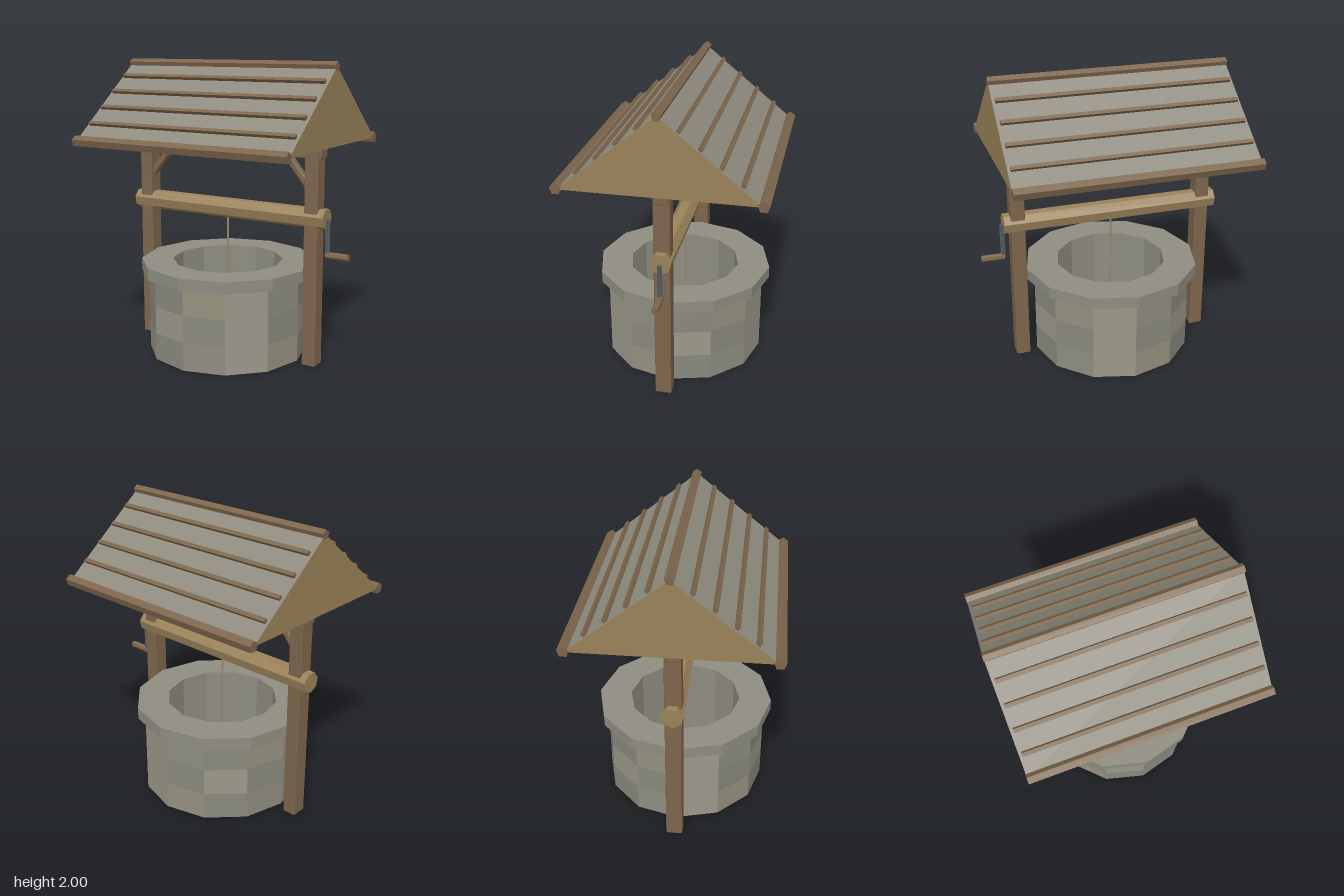
import * as THREE from 'three';
import { RoundedBoxGeometry } from 'three/addons/geometries/RoundedBoxGeometry.js';

const flat = (color, extra = {}) => new THREE.MeshStandardMaterial({ color, flatShading: true, ...extra });
const wood = flat(0x7d664c);
const paleWood = flat(0x9a8259);
const slate = flat(0x8f8b7f);
const metal = flat(0x555c61);
const rope = flat(0x9c8c72);
const dark = flat(0x45433c);
const stones = [0x8f8d81, 0x9b988a, 0x96917f, 0x8a897e].map((c) => flat(c));

export function createModel() {
  const model = new THREE.Group();
  const well = new THREE.Group();
  well.name = 'well';
  well.position.x = -0.055;
  model.add(well);

  const add = (name, geometry, material, x = 0, y = 0, z = 0) => {
    const mesh = new THREE.Mesh(geometry, material);
    mesh.name = name;
    mesh.position.set(x, y, z);
    well.add(mesh);
    return mesh;
  };
  // Bar along x with n sides and one corner pointing up (1) or down (-1)
  const bar = (r, length, n, corner) =>
    new THREE.CylinderGeometry(r, r, length, n, 1, false, corner * Math.PI / 2).rotateZ(Math.PI / 2);
  // Beam with small chamfers
  const beam = (w, h, d) => new RoundedBoxGeometry(w, h, d, 1, 0.008);
  const lathe = (points) =>
    new THREE.LatheGeometry(points.map(([r, y]) => new THREE.Vector2(r, y)), 12);

  // Stone wall: three courses of twelve blocks
  const sides = 12, rows = 3, wallHeight = 0.56, rowHeight = wallHeight / rows;
  const step = Math.PI * 2 / sides;
  for (let row = 0; row < rows; row++) {
    for (let i = 0; i < sides; i++) {
      const block = new THREE.CylinderGeometry(0.55, 0.55, rowHeight, 1, 1, true, i * step, step);
      add('wallStone', block, stones[(i * 5 + row * 7 + i * row) % 4], 0, (row + 0.5) * rowHeight);
    }
  }
  add('innerWall', lathe([[0.38, 0.56], [0.38, 0], [0.55, 0]]), stones[0]);
  add('rim', lathe([[0.38, 0.56], [0.6, 0.56], [0.6, 0.64], [0.38, 0.64], [0.38, 0.56]]), stones[0]);
  add('wellFloor', new THREE.CylinderGeometry(0.38, 0.38, 0.02, sides), dark, 0, 0.04);

  // Posts and braces
  for (const s of [-1, 1]) {
    add('post', beam(0.096, 1.46, 0.108), wood, s * 0.657, 0.73);
    const brace = add('brace', beam(0.32, 0.045, 0.05), wood, s * 0.54, 1.3);
    brace.rotation.z = -s * 0.875;
  }
  add('crossBeam', beam(1.446, 0.1, 0.092), wood, 0, 1.438);

  // Roller, rope and crank
  add('roller', bar(0.07, 1.5, 7, -1), paleWood, 0, 1);
  add('rope', new THREE.CylinderGeometry(0.007, 0.007, 0.9, 6), rope, 0, 0.55);
  add('crankArm', new THREE.CylinderGeometry(0.017, 0.017, 0.24, 5, 1, false, Math.PI / 2), metal, 0.757, 0.88);
  add('crankHandle', bar(0.024, 0.155, 7, 1), wood, 0.828, 0.763);

  // Solid roof: wooden gables, slate slopes and underside
  const halfSpan = 0.62, eaveY = 1.47, ridgeY = 1.97, roofLength = 1.595;
  const gable = new THREE.Shape([
    new THREE.Vector2(-halfSpan, eaveY),
    new THREE.Vector2(halfSpan, eaveY),
    new THREE.Vector2(0, ridgeY),
  ]);
  const roof = new THREE.ExtrudeGeometry(gable, { depth: roofLength, bevelEnabled: false });
  roof.translate(0, 0, -roofLength / 2).rotateY(Math.PI / 2);
  add('roof', roof, [paleWood, slate]);

  // Ridge pole, eave poles and battens
  add('ridgePole', bar(0.032, 1.6, 5, 1), wood, 0, 1.968);
  const pitch = Math.atan2(ridgeY - eaveY, halfSpan);
  for (const s of [-1, 1]) {
    add('eavePole', bar(0.038, 1.6, 5, 1), wood, 0, 1.471, s * 0.625);
    for (let i = 1; i <= 4; i++) {
      const z = i * 0.125;
      const batten = add('batten', new THREE.BoxGeometry(1.555, 0.024, 0.026), wood,
        0, ridgeY + 0.013 - z * Math.tan(pitch), s * z);
      batten.rotation.x = s * pitch;
    }
  }
  return model;
}
